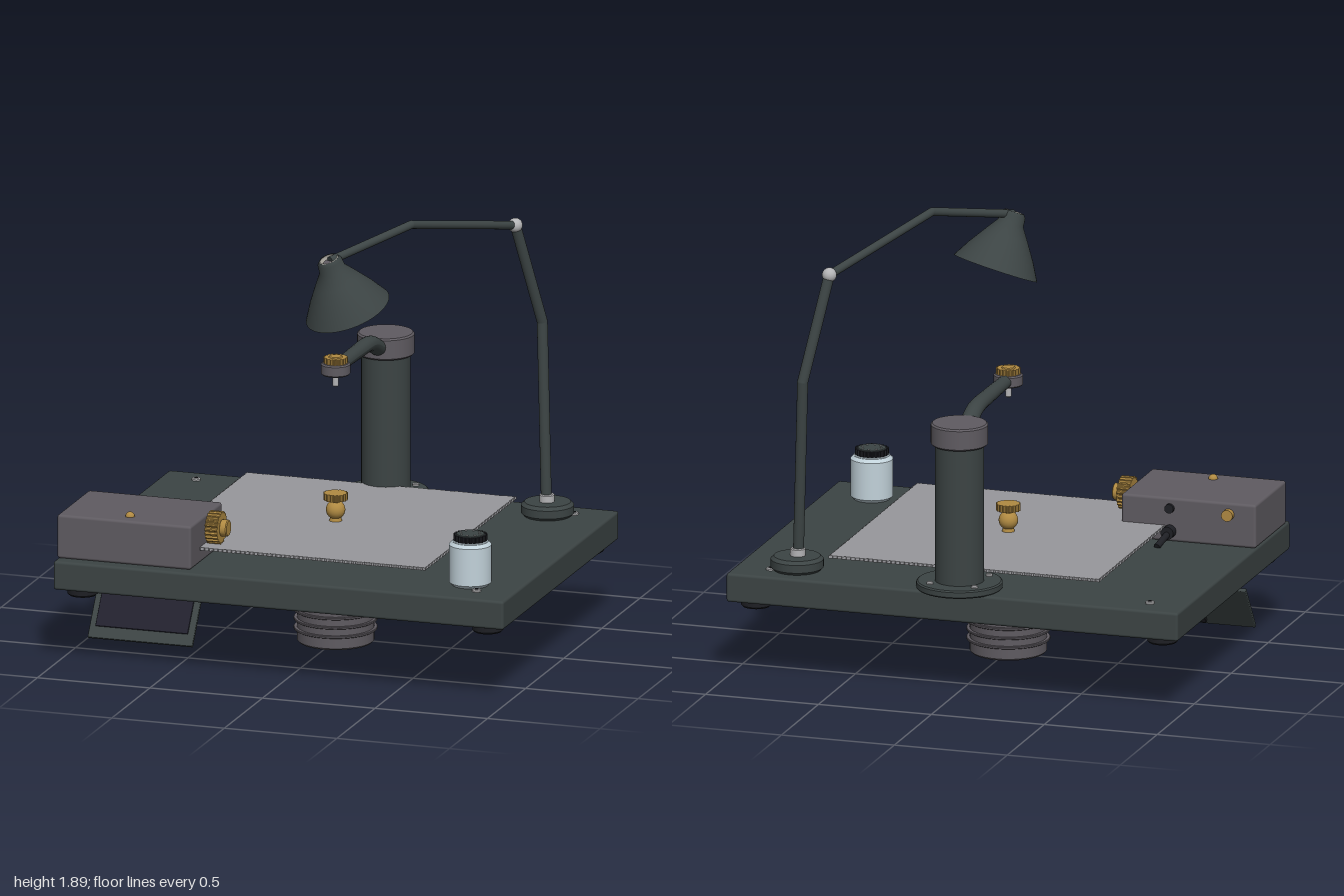
import * as THREE from 'three';
import { RoundedBoxGeometry } from 'three/addons/geometries/RoundedBoxGeometry.js';

const mat = (name, color, side = THREE.FrontSide) => {
  const m = new THREE.MeshStandardMaterial({ color, side });
  m.name = name;
  return m;
};
const V = (x, y, z) => new THREE.Vector3(x, y, z);

export function createModel() {
  const root = new THREE.Group();
  root.name = 'bench';
  const dark = mat('dark enamel', 0x3c4444, THREE.DoubleSide);
  const grey = mat('grey metal', 0x5f5b61);
  const brass = mat('brass', 0xb08a42);
  const silver = mat('silver', 0xb4b4b6);
  const plateMat = mat('plate grey', 0x98989c);
  const black = mat('black rubber', 0x1e1f24);
  const screenMat = mat('screen', 0x22212e);
  const glass = mat('pale glass', 0xc2d2da);
  const lining = mat('cream lining', 0xdedad0, THREE.DoubleSide);

  const add = (name, geo, m, x = 0, y = 0, z = 0, parent = root) => {
    const mesh = new THREE.Mesh(geo, m);
    mesh.name = name;
    mesh.position.set(x, y, z);
    parent.add(mesh);
    return mesh;
  };
  const box = (name, m, w, h, d, x, y, z, r = 0.006, parent = root) =>
    add(name, new RoundedBoxGeometry(w, h, d, 2, r), m, x, y, z, parent);
  // Upright turned part with softly chamfered rims, from y0 to y1
  const disc = (name, m, r, y0, y1, x, z, bevel = 0.004, parent = root) => {
    const h = y1 - y0, b = Math.min(bevel, h / 3);
    const geo = new THREE.LatheGeometry([[0, 0], [r - b, 0], [r - b, 0], [r, b], [r, b], [r, h - b],
      [r, h - b], [r - b, h], [r - b, h], [0, h]].map(p => new THREE.Vector2(...p)), 40);
    return add(name, geo, m, x, y0, z, parent);
  };
  const ball = (name, m, r, x, y, z, parent = root) =>
    add(name, new THREE.SphereGeometry(r, 24, 16), m, x, y, z, parent);
  // Straight rod between two points
  const rod = (name, m, a, b, ra, rb = ra) => {
    const mesh = add(name, new THREE.CylinderGeometry(rb, ra, a.distanceTo(b), 18), m);
    mesh.position.copy(a).lerp(b, 0.5);
    mesh.quaternion.setFromUnitVectors(V(0, 1, 0), b.clone().sub(a).normalize());
    return mesh;
  };
  // Upright knurled wheel with n square teeth
  const knurl = (name, m, r, h, n, x, y, z, parent = root) => {
    const s = new THREE.Shape();
    for (let i = 0; i < n * 4; i++) {
      const a = ((i + 0.5) / (n * 4)) * Math.PI * 2;
      const q = i % 4 < 2 ? r : r * 0.9;
      s[i ? 'lineTo' : 'moveTo'](q * Math.cos(a), q * Math.sin(a));
    }
    const geo = new THREE.ExtrudeGeometry(s, { depth: h, bevelEnabled: false });
    geo.rotateX(-Math.PI / 2);
    return add(name, geo, m, x, y, z, parent);
  };

  // Base slab, feet and corner screws
  box('base', dark, 2, 0.125, 1.52, 0, 0.3925, 0.035, 0.012);
  for (const x of [-0.9, 0.9]) for (const z of [-0.62, 0.7]) disc('foot', black, 0.065, 0.295, 0.332, x, z, 0.008);
  for (const x of [-0.84, 0.84]) for (const z of [-0.61, 0.67]) {
    disc('screw', silver, 0.019, 0.45, 0.465, x, z);
    disc('screwSocket', black, 0.008, 0.46, 0.467, x, z, 0.001);
  }

  // Stage plate with finely toothed edges
  const outline = [];
  const corners = [[-0.6, -0.63], [0.6, -0.63], [0.6, 0.56], [-0.6, 0.56]];
  corners.forEach(([x, y], k) => {
    const [nx, ny] = corners[(k + 1) % 4];
    for (let i = 0; i < 120; i++) {
      const t = i / 120, inset = i % 2 ? 0.99 : 1;
      outline.push(new THREE.Vector2((x + (nx - x) * t) * inset, (y + (ny - y) * t) * inset));
    }
  });
  const plateGeo = new THREE.ExtrudeGeometry(new THREE.Shape(outline), { depth: 0.012, bevelEnabled: false });
  plateGeo.rotateX(-Math.PI / 2);
  add('stagePlate', plateGeo, plateMat, 0, 0.512, 0);

  // Spindle and clamp in the middle of the plate
  disc('spindleRing', grey, 0.118, 0.45, 0.458, 0, 0.04);
  disc('spindle', silver, 0.045, 0.455, 0.512, 0, 0.04);
  add('clampNeck', new THREE.CylinderGeometry(0.02, 0.028, 0.03, 24), brass, 0, 0.535, 0.04);
  ball('clampBall', brass, 0.041, 0, 0.572, 0.04);
  disc('clampStem', brass, 0.022, 0.6, 0.62, 0, 0.04);
  knurl('clampKnob', brass, 0.052, 0.03, 18, 0, 0.615, 0.04);

  // Finned motor beneath the base
  disc('motor', grey, 0.163, 0, 0.302, 0, 0.04, 0.008);
  disc('motorBoss', grey, 0.05, 0.3, 0.31, 0, 0.04);
  for (let i = 0; i < 6; i++) {
    const y = 0.055 + i * 0.0405;
    disc('motorFin', grey, 0.177, y, y + 0.01, 0, 0.04, 0.002);
  }

  // Column with bolted flange and cap
  disc('columnFlange', dark, 0.182, 0.453, 0.487, 0, -0.62, 0.006);
  disc('column', dark, 0.104, 0.48, 1.085, 0, -0.62);
  disc('columnCap', grey, 0.121, 1.08, 1.175, 0, -0.62, 0.007);
  for (let i = 0; i < 4; i++) {
    const a = Math.PI / 4 + (i * Math.PI) / 2;
    disc('flangeBolt', silver, 0.014, 0.483, 0.497, 0.14 * Math.cos(a), -0.62 + 0.14 * Math.sin(a));
  }

  // Curved overhead arm, slimmer toward its tip
  const armCurve = new THREE.CatmullRomCurve3([V(0, 1.12, -0.55), V(0, 1.14, -0.5), V(0, 1.178, -0.41),
    V(0, 1.187, -0.22), V(0, 1.188, 0.03)]);
  const armGeo = new THREE.TubeGeometry(armCurve, 32, 0.039, 20);
  const p = armGeo.attributes.position;
  for (let i = 0; i < p.count; i++) {
    const t = Math.floor(i / 21) / 32, c = armCurve.getPointAt(t), k = 1 - 0.24 * t;
    p.setXYZ(i, p.getX(i) * k, c.y + (p.getY(i) - c.y) * k * 0.9, c.z + (p.getZ(i) - c.z) * k);
  }
  armGeo.computeVertexNormals();
  add('arm', armGeo, dark);
  disc('armHead', grey, 0.062, 1.162, 1.213, 0, 0.04, 0.006);
  knurl('armKnob', brass, 0.052, 0.026, 18, 0, 1.212, 0.04);
  disc('armKnobTop', brass, 0.03, 1.23, 1.242, 0, 0.04);
  disc('armPin', silver, 0.013, 1.11, 1.17, 0, 0.04);

  // Control box with knob, buttons and rear cable
  box('controlBox', grey, 0.595, 0.19, 0.415, -0.7025, 0.55, 0.5375, 0.012);
  ball('topButton', brass, 0.02, -0.7, 0.645, 0.67);
  const dial = new THREE.Group();
  dial.name = 'sideDial';
  dial.position.set(-0.41, 0.592, 0.535);
  dial.rotation.z = -Math.PI / 2;
  root.add(dial);
  disc('dialShaft', brass, 0.025, 0, 0.03, 0, 0, 0.002, dial);
  knurl('dialWheel', brass, 0.07, 0.055, 22, 0, 0.018, 0, dial);
  disc('dialFace', brass, 0.036, 0.07, 0.103, 0, 0, 0.004, dial);
  rod('rearTerminal', brass, V(-0.88, 0.595, 0.34), V(-0.88, 0.595, 0.305), 0.025);
  rod('rearSocket', black, V(-0.62, 0.6, 0.34), V(-0.62, 0.6, 0.315), 0.02);
  rod('cablePlug', black, V(-0.62, 0.5, 0.34), V(-0.62, 0.5, 0.29), 0.028);
  rod('cable', black, V(-0.62, 0.495, 0.3), V(-0.6, 0.46, 0.215), 0.014);

  // Tilted display under the front edge
  const display = new THREE.Group();
  display.name = 'display';
  display.position.set(-0.7025, 0.155, 0.463);
  display.rotation.x = -0.6;
  root.add(display);
  box('displayFrame', dark, 0.465, 0.235, 0.018, 0, 0, 0, 0.004, display);
  box('displayScreen', screenMat, 0.41, 0.15, 0.008, 0, 0.008, 0.012, 0.002, display);
  box('displayPlug', black, 0.05, 0.035, 0.018, 0, -0.075, -0.017, 0.003, display);

  // Jar with ribbed cap
  disc('jar', glass, 0.09, 0.455, 0.645, 0.78, 0.575, 0.014);
  disc('jarNeck', glass, 0.076, 0.64, 0.65, 0.78, 0.575);
  knurl('jarCap', black, 0.072, 0.03, 24, 0.78, 0.645, 0.575);
  disc('jarLid', dark, 0.062, 0.66, 0.678, 0.78, 0.575);
  for (let i = 0; i < 8; i++) {
    const a = (i * Math.PI) / 4;
    disc('capHole', silver, 0.005, 0.676, 0.68, 0.78 + 0.042 * Math.cos(a), 0.575 + 0.042 * Math.sin(a), 0.001);
  }

  // Lamp foot, jointed stem and boom
  disc('lampFoot', dark, 0.112, 0.453, 0.515, 0.737, -0.565, 0.014);
  disc('lampCollar', silver, 0.032, 0.51, 0.548, 0.735, -0.562);
  const path = [V(0.733, 0.52, -0.56), V(0.7, 1.285, -0.604), V(0.62, 1.73, -0.487), V(0.362, 1.868, 0.115),
    V(0.122, 1.783, 0.475)];
  path.slice(1).forEach((b, i) => rod(i < 2 ? 'lampStem' : 'lampBoom', dark, path[i], b, i < 2 ? 0.023 : 0.018));
  ball('stemElbow', dark, 0.023, ...path[1].toArray());
  ball('lampJoint', silver, 0.031, ...path[2].toArray());
  ball('boomElbow', dark, 0.018, ...path[3].toArray());

  // Conical shade hung from the boom, with lining, socket and bulb
  const shade = new THREE.Group();
  shade.name = 'lampShade';
  shade.position.set(0.118, 1.79, 0.48);
  shade.quaternion.setFromUnitVectors(V(0, -1, 0), V(0.06, -0.235, -0.075).normalize());
  root.add(shade);
  const profile = [[0.042, 0.002], [0.053, -0.012], [0.057, -0.05], [0.095, -0.105], [0.142, -0.175], [0.185, -0.25]];
  const lathe = inset => new THREE.LatheGeometry(profile.map(([r, y]) => new THREE.Vector2(r - inset, y)), 48);
  add('shadeShell', lathe(0), dark, 0, 0, 0, shade);
  add('shadeLining', lathe(0.005), lining, 0, 0, 0, shade);
  disc('bulbSocket', grey, 0.03, -0.085, -0.01, 0, 0, 0.004, shade);
  ball('bulb', brass, 0.04, 0, -0.12, 0, shade);

  return root;
}
